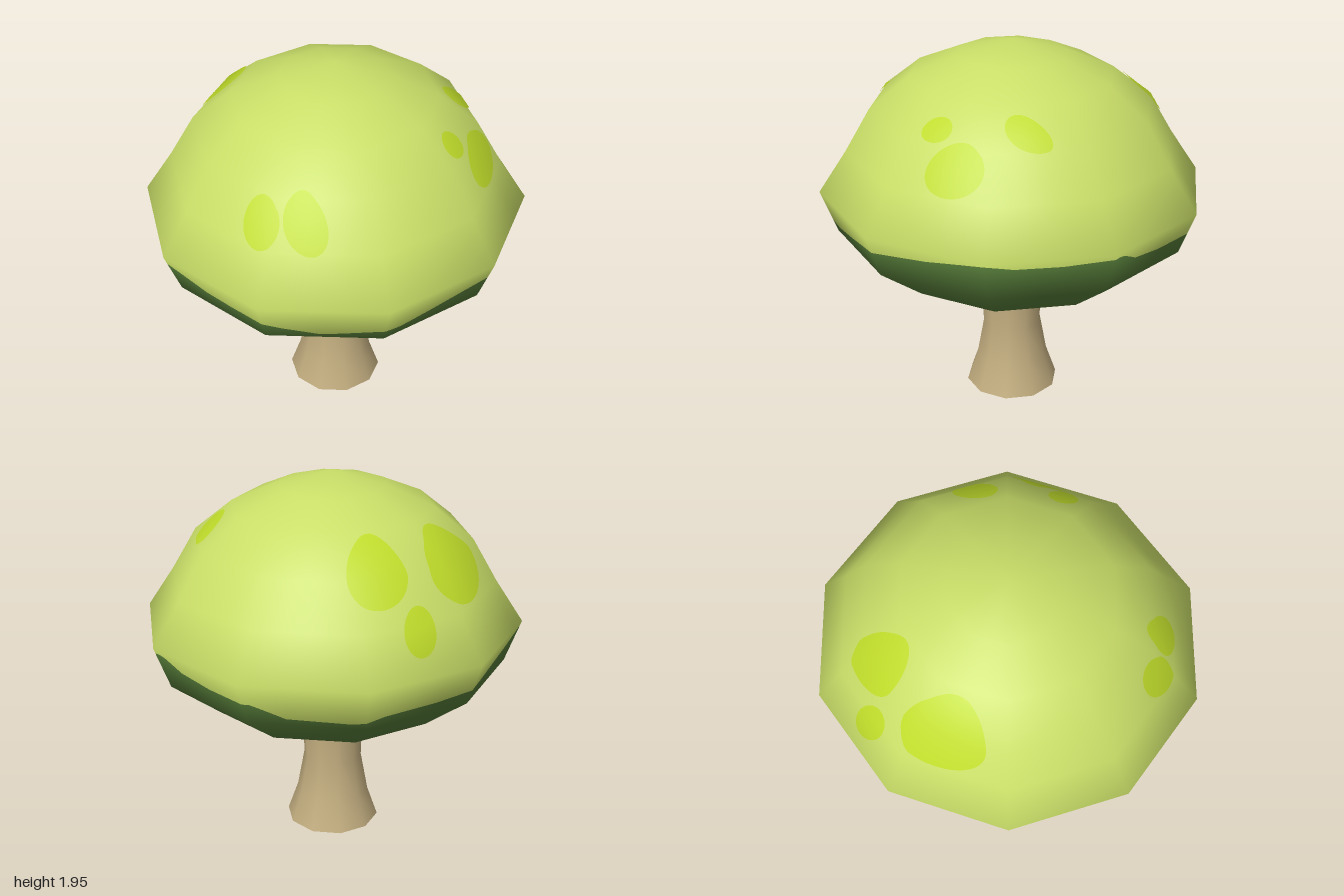
import * as THREE from 'three';

const RAD = Math.PI / 180;
const mat = (name, color, side = THREE.FrontSide) => {
  const m = new THREE.MeshStandardMaterial({ color, side });
  m.name = name;
  return m;
};

// Cap profile [radius, height], rim to apex, for a ten-sided cap
const PROFILE = [[0.658, 0.772], [0.914, 0.973], [0.995, 1.193], [0.85, 1.406],
  [0.722, 1.62], [0.525, 1.775], [0.283, 1.878], [0, 1.948]];
const BOTTOM = PROFILE[0][1];

// Tilt of the smooth normal at each profile point
const segTilt = PROFILE.slice(1).map(([r, y], i) => Math.atan2(PROFILE[i][0] - r, y - PROFILE[i][1]));
const TILT = PROFILE.map((p, i) => {
  if (i === 0) return segTilt[0];
  if (i === PROFILE.length - 1) return Math.PI / 2;
  return (segTilt[i - 1] + segTilt[i]) / 2;
});
const ROWS = PROFILE.map(([r, y], i) => [r, y, TILT[i]]);

// Height of the dark underside's wavy edge: [degrees from front, height]
const BORDER = [[0, 1.07], [5, 1.04], [17, 0.995], [25, 1.01], [36, 1.035], [41, 1.02], [53, 1.05],
  [72, 1.11], [90, 1.135], [108, 1.185], [116, 1.155], [130, 1.15], [147, 1.172], [154, 1.11],
  [166, 1.085], [182, 1.085], [192, 1.01], [212, 1.0], [222, 1.025], [240, 1.03], [258, 1.06],
  [278, 1.12], [288, 1.17], [306, 1.145], [324, 1.15], [338, 1.08], [348, 1.07], [360, 1.07]];
// Radius where the dark colour begins on the flat bottom
const DISC_BORDER = [[0, 0.46], [3, 0.476], [31, 0.67], [245, 0.66], [262, 0.52], [279, 0.424],
  [300, 0.385], [324, 0.38], [345, 0.41], [360, 0.46]];

function lookup(table, x) {
  let i = 1;
  while (i < table.length - 1 && table[i][0] < x) i++;
  const [x0, y0] = table[i - 1], [x1, y1] = table[i];
  return y0 + (y1 - y0) * (x - x0) / (x1 - x0);
}

// Profile row [radius, height, tilt] at a given height
function rowAt(y) {
  let i = 1;
  while (i < ROWS.length - 1 && ROWS[i][1] < y) i++;
  const a = ROWS[i - 1], b = ROWS[i], t = (y - a[1]) / (b[1] - a[1]);
  return a.map((v, k) => v + (b[k] - v) * t);
}

// Point and normal on the ten-sided cap at an angle in degrees
function capPoint(deg, [r, y, tilt], lift = 0) {
  const inFacet = ((deg % 36) + 36) % 36 - 18;
  const k = r * Math.cos(18 * RAD) / Math.cos(inFacet * RAD);
  const s = Math.sin(deg * RAD), c = Math.cos(deg * RAD);
  const n = [s * Math.cos(tilt), Math.sin(tilt), c * Math.cos(tilt)];
  const p = [k * s * 0.975, y, k * c].map((v, i) => v + n[i] * lift);
  return [p, n];
}

// Grid surface: i runs right and j runs up as seen from outside
function grid(nu, nv, fn) {
  const pos = [], nor = [], idx = [];
  for (let i = 0; i <= nu; i++) for (let j = 0; j <= nv; j++) {
    const [p, n] = fn(i, j);
    pos.push(...p);
    nor.push(...n);
    if (i < nu && j < nv) {
      const a = i * (nv + 1) + j, b = a + nv + 1;
      idx.push(a, b, b + 1, a, b + 1, a + 1);
    }
  }
  const g = new THREE.BufferGeometry();
  g.setAttribute('position', new THREE.Float32BufferAttribute(pos, 3));
  g.setAttribute('normal', new THREE.Float32BufferAttribute(nor, 3));
  g.setIndex(idx);
  return g;
}

// Band around the cap whose rows may change with the angle
function band(rowsFor) {
  const n = 180;
  return grid(n, rowsFor(0).length - 1, (i, j) => capPoint(i * 360 / n, rowsFor(i * 360 / n)[j]));
}

// Thin patch following the cap: angle, height, half width, half height, slant
function spot([deg, y, w, h, slant]) {
  return grid(40, 8, (i, j) => {
    const a = -i * 9 * RAD, q = j / 8;
    const u = q * Math.cos(a), v = q * Math.sin(a);
    const d = deg + u * w / rowAt(y)[0] / RAD;
    return capPoint(d, rowAt(y + v * h + u * slant), 0.007);
  });
}

export function createModel() {
  const group = new THREE.Group();
  const light = mat('light green', 0xc9de68);
  const dark = mat('dark green', 0x557a38);
  const bright = mat('bright green', 0xbfdb2a);
  const bark = mat('bark tan', 0xc2ad7f);
  const add = (name, geometry, material) => {
    const m = new THREE.Mesh(geometry, material);
    m.name = name;
    group.add(m);
    return m;
  };

  // Cap, split along the wavy colour edge
  add('capTop', band(d => [rowAt(lookup(BORDER, d)), ...ROWS.slice(2)]), light);
  add('capUnderside', band(d => [...ROWS.slice(0, 2), rowAt(lookup(BORDER, d))]), dark);

  // Flat bottom of the cap, in two colours
  const split = d => {
    const inFacet = (d % 36) - 18;
    const k = Math.cos(18 * RAD) / Math.cos(inFacet * RAD);
    return Math.min(PROFILE[0][0], lookup(DISC_BORDER, d) / k);
  };
  const flat = r => [r, BOTTOM, -Math.PI / 2];
  add('capBottomLight', band(d => [flat(0), flat(split(d))]), light);
  add('capBottomDark', band(d => [flat(split(d)), flat(PROFILE[0][0])]), dark);

  // Painted spots
  const spots = [
    [-5, 1.51, 0.1, 0.11, 0], [11, 1.525, 0.11, 0.12, -0.04],
    [95, 1.525, 0.15, 0.112, 0.02], [83, 1.665, 0.075, 0.045, 0], [122, 1.675, 0.11, 0.06, -0.03],
    [263, 1.585, 0.22, 0.165, 0], [224, 1.63, 0.155, 0.14, 0], [235.6, 1.38, 0.09, 0.1, 0.02],
  ];
  spots.forEach(s => add('spot', spot(s), bright));

  // Flared trunk, leaning slightly at the top
  const outline = [[0.248, 0], [0.193, 0.16], [0.155, 0.37], [0.163, 0.62], [0.182, 0.775]];
  const trunk = new THREE.LatheGeometry(outline.map(p => new THREE.Vector2(...p)), 10);
  const p = trunk.attributes.position;
  for (let i = 0; i < p.count; i++) {
    if (p.getY(i) > 0.7) p.setX(i, p.getX(i) - 0.02);
  }
  add('trunk', trunk, bark);
  add('trunkBase', new THREE.CircleGeometry(0.248, 10, Math.PI / 2).rotateX(Math.PI / 2), bark);

  return group;
}
